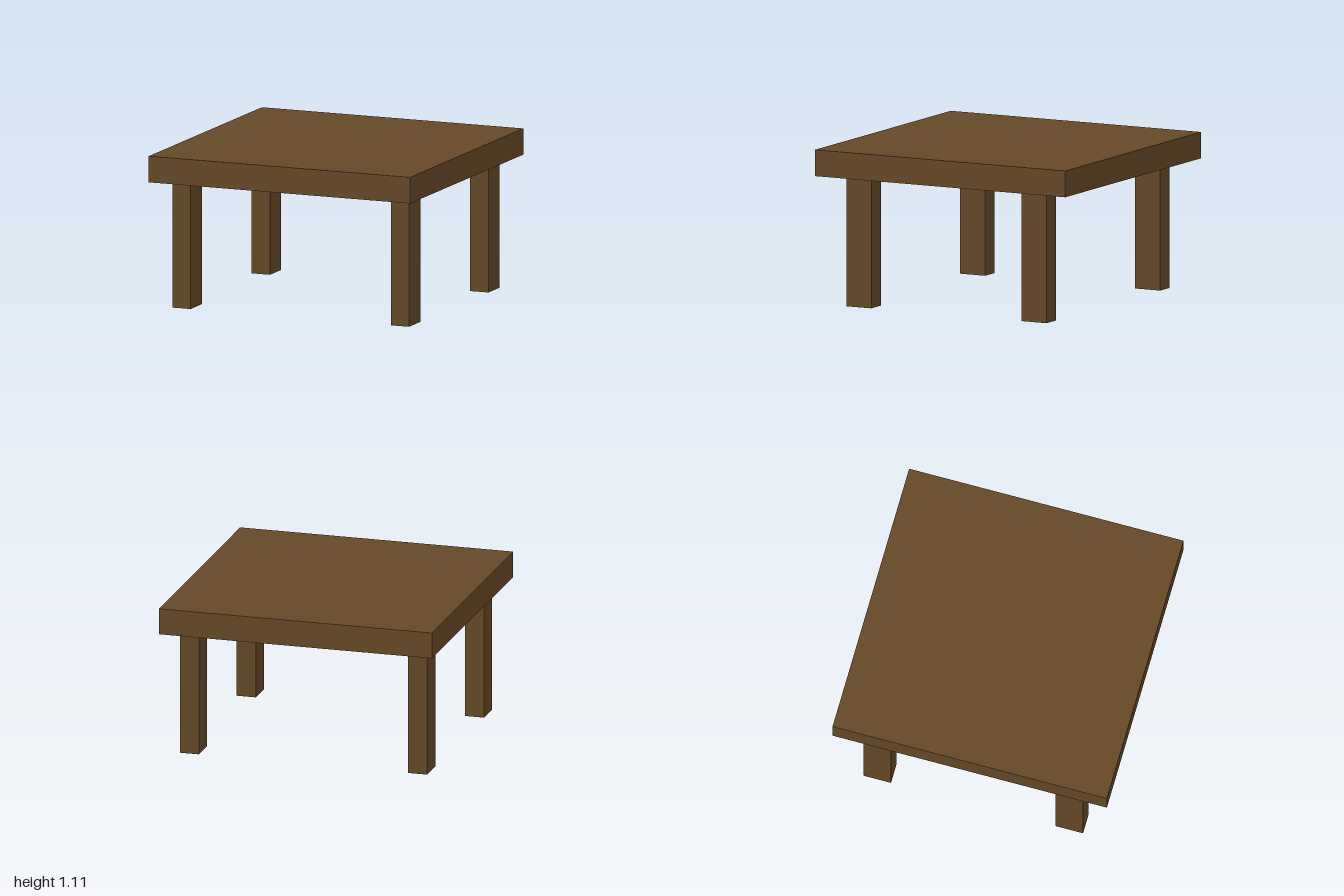
import * as THREE from 'three';

export function createModel() {
  const table = new THREE.Group();
  table.name = 'table';
  const wood = new THREE.MeshStandardMaterial({ color: 0x654828 });

  const addBox = (name, size, position) => {
    const mesh = new THREE.Mesh(new THREE.BoxGeometry(...size), wood);
    mesh.name = name;
    mesh.position.set(...position);
    table.add(mesh);
  };

  // Square slab resting on the legs
  const legHeight = 0.923, topThickness = 0.187;
  addBox('tableTop', [2, topThickness, 2], [0, legHeight + topThickness / 2, 0]);

  // Four rectangular legs, mirrored in x and z
  for (const [side, sx] of [['Left', 1], ['Right', -1]]) {
    for (const [end, sz] of [['front', 1], ['back', -1]]) {
      addBox(`${end}${side}Leg`, [0.14, legHeight, 0.2], [sx * 0.836, legHeight / 2, sz * 0.7]);
    }
  }

  return table;
}
